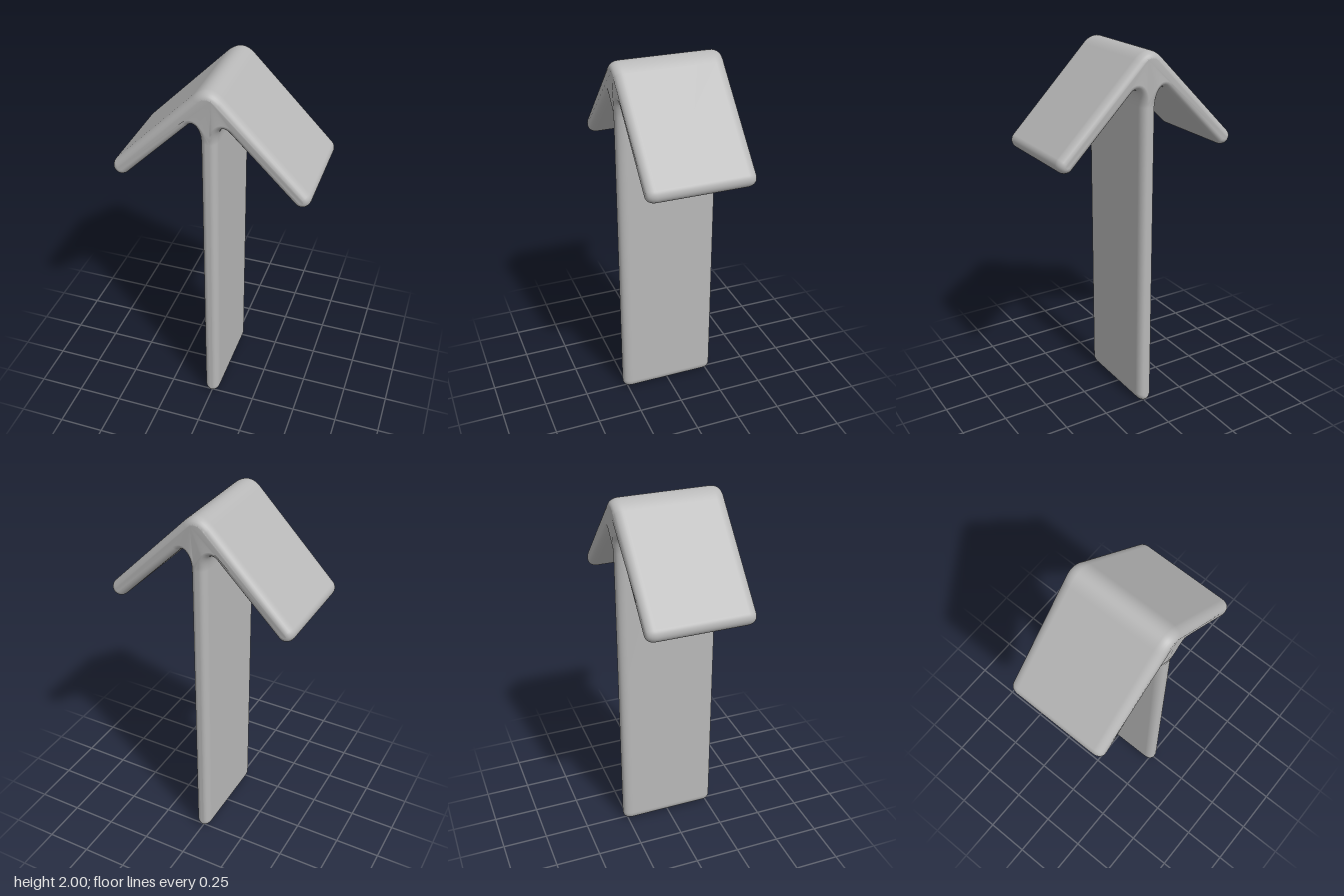
import * as THREE from 'three';
import { mergeVertices } from 'three/addons/utils/BufferGeometryUtils.js';

const smooth = THREE.MathUtils.smoothstep;

// Half outline from the apex, around one arm, down to the foot; mirrored for the other side
function arrowShape() {
  const half = new THREE.Path();
  half.moveTo(0, 2);
  half.quadraticCurveTo(0.038, 2, 0.077, 1.96);
  half.absarc(0.47, 1.5, 0.045, Math.PI / 4, -Math.PI * 3 / 4, true);
  half.lineTo(0.105, 1.8);
  half.bezierCurveTo(0.075, 1.83, 0.042, 1.81, 0.042, 1.72);
  half.lineTo(0.042, 0.05);
  half.absellipse(0, 0.05, 0.042, 0.05, 0, -Math.PI / 2, true);
  const right = half.getPoints(12);
  right[0].x = 0;
  right[right.length - 1].x = 0;
  const left = right.slice(1, -1).reverse().map((p) => new THREE.Vector2(-p.x, p.y));
  return new THREE.Shape([...right, ...left]);
}

export function createModel() {
  const group = new THREE.Group();
  const grey = new THREE.MeshStandardMaterial({ color: 0xb8b8b8 });
  grey.name = 'light grey';

  // Thick slab with rounded rims
  const bevel = 0.045, halfDepth = 0.273;
  let geometry = new THREE.ExtrudeGeometry(arrowShape(), {
    depth: 2 * (halfDepth - bevel),
    bevelThickness: bevel,
    bevelSize: 0.032,
    bevelOffset: -0.032,
    bevelSegments: 6,
  });
  geometry.translate(0, 0, bevel - halfDepth);

  // Arms are slightly deeper than the stem, with a soft bulge at the junction
  const pos = geometry.attributes.position;
  for (let i = 0; i < pos.count; i++) {
    const x = pos.getX(i), y = pos.getY(i);
    const arm = Math.max(smooth(Math.abs(x), 0.045, 0.1), smooth(y, 1.68, 1.82));
    const bulge = Math.exp(-((x / 0.07) ** 2) - ((y - 1.9) / 0.1) ** 2);
    pos.setZ(i, pos.getZ(i) * (1 + (0.012 * arm + 0.012 * bulge) / halfDepth));
  }

  // Weld so the whole skin shades smoothly
  geometry.deleteAttribute('normal');
  geometry.deleteAttribute('uv');
  geometry = mergeVertices(geometry, 1e-4);
  geometry.clearGroups();
  geometry.computeVertexNormals();

  const arrow = new THREE.Mesh(geometry, grey);
  arrow.name = 'arrow';
  group.add(arrow);
  return group;
}
